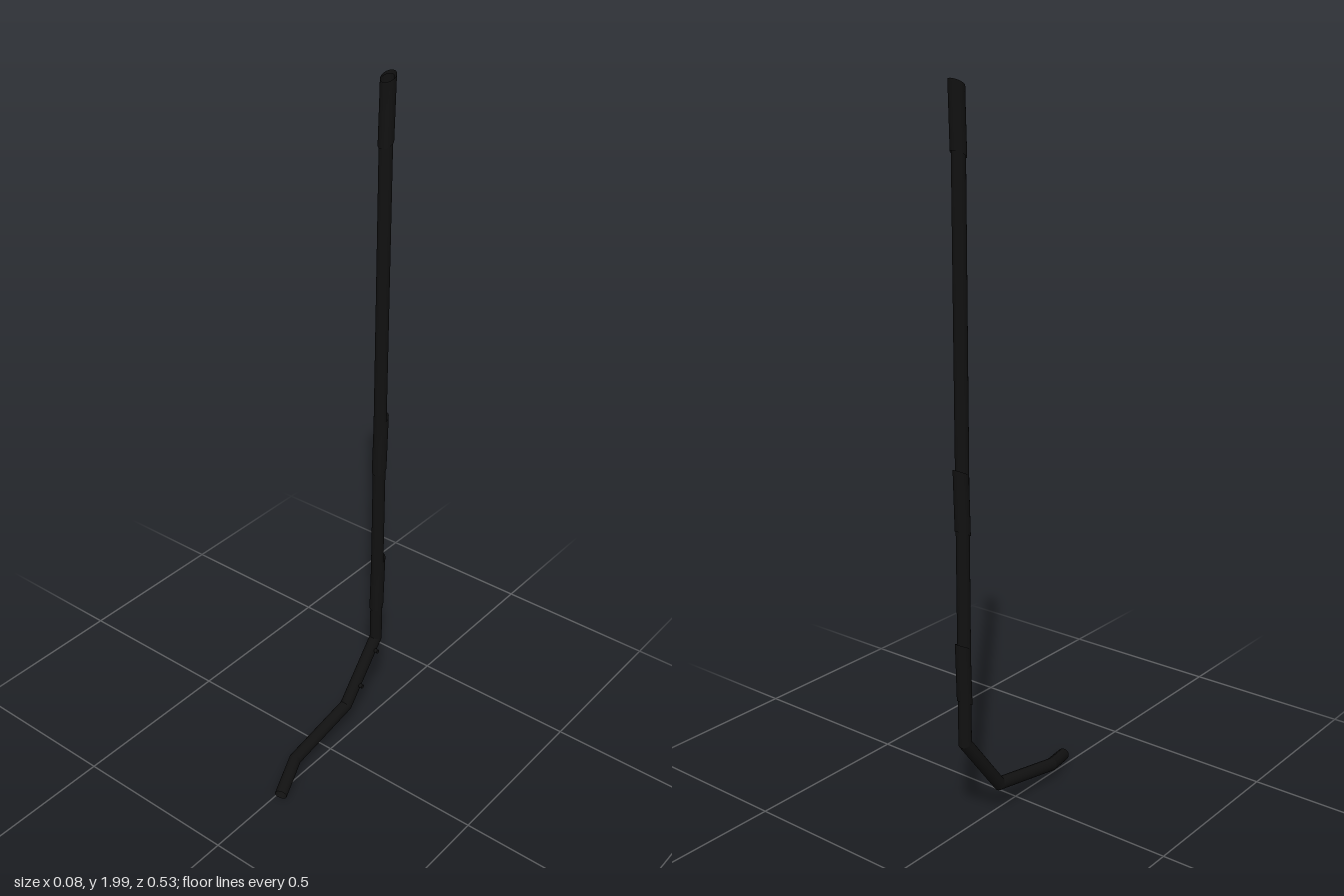
import * as THREE from 'three';
import { mergeGeometries } from 'three/addons/utils/BufferGeometryUtils.js';

const V = (x, y, z) => new THREE.Vector3(x, y, z);
const SIDES = 24;
const pipeMaterial = new THREE.MeshStandardMaterial({ color: 0x111111, side: THREE.DoubleSide });

// Straight round segments joined by mitred corners; the end planes may be slanted.
function mitredPipe(path, radius, startNormal, endNormal) {
  const dirs = path.slice(1).map((p, i) => p.clone().sub(path[i]).normalize());
  const planeNormal = (i) => {
    if (i === 0) return startNormal || dirs[0];
    if (i === dirs.length) return endNormal || dirs[dirs.length - 1];
    return dirs[i - 1].clone().add(dirs[i]).normalize();
  };
  let carry = V(1, 0, 0);
  const segments = dirs.map((d, s) => {
    const u = carry.clone().addScaledVector(d, -carry.dot(d)).normalize();
    const v = d.clone().cross(u);
    carry = u;
    const positions = [];
    const indices = [];
    for (const k of [s, s + 1]) {
      const n = planeNormal(k);
      for (let i = 0; i < SIDES; i++) {
        const a = (i / SIDES) * Math.PI * 2;
        const offset = u.clone().multiplyScalar(Math.cos(a) * radius).addScaledVector(v, Math.sin(a) * radius);
        // slide along the segment until the point lies in the cutting plane
        offset.addScaledVector(d, -offset.dot(n) / d.dot(n));
        positions.push(...offset.add(path[k]).toArray());
      }
    }
    for (let i = 0; i < SIDES; i++) {
      const j = (i + 1) % SIDES;
      indices.push(i, j, i + SIDES, j, j + SIDES, i + SIDES);
    }
    const g = new THREE.BufferGeometry();
    g.setAttribute('position', new THREE.Float32BufferAttribute(positions, 3));
    g.setIndex(indices);
    g.computeVertexNormals();
    return g;
  });
  return mergeGeometries(segments);
}

export function createModel() {
  const group = new THREE.Group();
  const add = (name, geometry) => {
    const mesh = new THREE.Mesh(geometry, pipeMaterial);
    mesh.name = name;
    group.add(mesh);
    return mesh;
  };
  const slant = V(0, 1, 0.5).normalize();

  // Downpipe: long upright, two elbows and a spout turned to the side
  const elbow = V(-0.017, 0.28, -0.239);
  const knee = V(-0.021, 0.1, -0.1);
  const path = [V(-0.017, 1.985, -0.239), elbow, knee, V(-0.021, 0.055, 0.14), V(0.021, 0.024, 0.255)];
  add('downpipe', mitredPipe(path, 0.018, slant));

  // Slightly wider sleeves, leaning back, with slanted rims
  for (const [name, top] of [['topSleeve', 1.99], ['middleSleeve', 1.04], ['lowerSleeve', 0.565]]) {
    add(name, mitredPipe([V(-0.017, top, -0.244), V(-0.017, top - 0.165, -0.239)], 0.0205, slant, slant));
  }

  // Two small pegs on the left side of the sloping lower pipe
  [0.17, 0.68].forEach((t, i) => {
    const peg = add(i ? 'lowerPeg' : 'upperPeg', new THREE.CylinderGeometry(0.0065, 0.0065, 0.016, 12));
    peg.rotation.z = Math.PI / 2;
    peg.position.lerpVectors(elbow, knee, t).add(V(0.0195, 0, 0));
  });
  return group;
}
